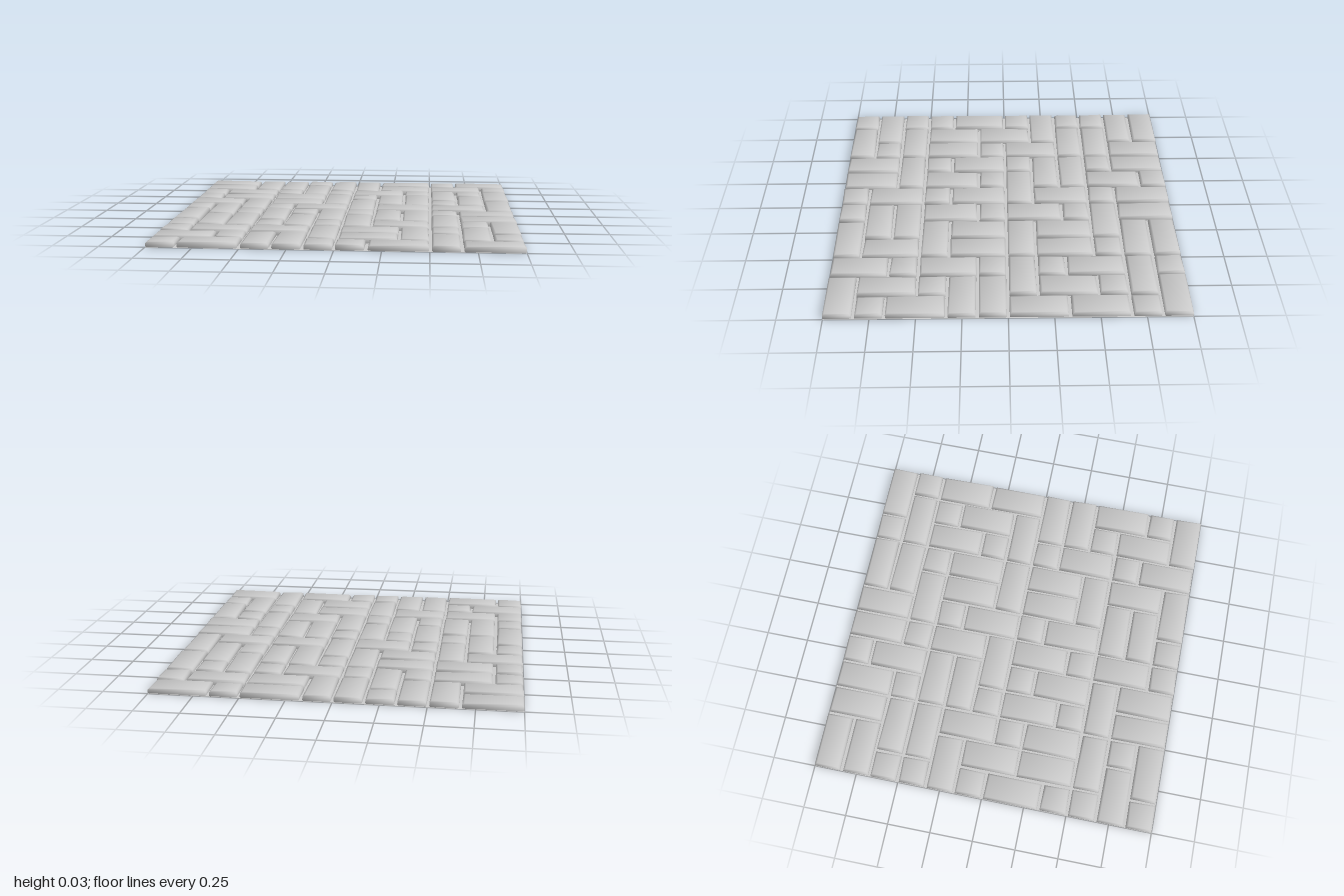
import * as THREE from 'three';

// Paving layout: H = brick along x, V = brick along z, S = half brick, . = covered
const LAYOUT = [
  'H.VVSVVH.SH.',
  'H...V..H.H.S',
  'SH.S.SH.SVSV',
  'SH.H.VSVV.V.',
  'H.VH..V..S.V',
  'SV.SH..H.H..',
  'V.SVSVSVVSH.',
  '.VV.V.V..VH.',
  'S..S.S.H..SV',
  'SH.H.VH.VSV.',
  'H.SVV.H..V.S',
  'SH...SSH..H.',
];
const GAP = 0.013;
const PITCH = (2 + GAP) / 12;

// Rings of a brick from the ground up: inset, height, upward lean of the normal
const RINGS = [
  [0.006, 0, -0.4],
  [0, 0.007, -0.1],
  [0, 0.024, 0.8],
  [0.009, 0.031, 3.3],
];
// Corners in counterclockwise order seen from above (x, z)
const CORNERS = [[-1, 1], [1, 1], [1, -1], [-1, -1]];

function makeRandom(seed) {
  return () => {
    seed = (seed * 16807) % 2147483647;
    return seed / 2147483647;
  };
}

// Worn brick with bevelled edges, softly shaded and slightly uneven corners
function brickGeometry(x0, z0, w, d, random) {
  const pos = [], nor = [], index = [];
  const wobble = CORNERS.map(() => [random() * 0.009, random() * 0.009, random() * 0.006 - 0.003]);
  const n = new THREE.Vector3();
  RINGS.forEach(([inset, y, lean], r) => {
    CORNERS.forEach(([sx, sz], c) => {
      const k = r / 3;
      const [wx, wz, wy] = wobble[c];
      pos.push(
        x0 + w / 2 + sx * (w / 2 - inset - wx * k),
        y + (r > 1 ? wy : 0),
        z0 + d / 2 + sz * (d / 2 - inset - wz * k));
      n.set(sx, lean, sz).normalize();
      nor.push(n.x, n.y, n.z);
      if (r < 3) {
        const a = r * 4 + c, b = r * 4 + (c + 1) % 4;
        index.push(a, b, b + 4, a, b + 4, a + 4);
      }
    });
  });
  index.push(12, 13, 14, 12, 14, 15);
  const geometry = new THREE.BufferGeometry();
  geometry.setAttribute('position', new THREE.Float32BufferAttribute(pos, 3));
  geometry.setAttribute('normal', new THREE.Float32BufferAttribute(nor, 3));
  geometry.setIndex(index);
  return geometry;
}

export function createModel() {
  const group = new THREE.Group();
  group.name = 'brickPaving';
  const material = new THREE.MeshStandardMaterial({ color: 0xcccccc });
  const random = makeRandom(4711);

  // Mortar bed under the bricks
  const bed = new THREE.Mesh(
    new THREE.PlaneGeometry(2, 2).rotateX(-Math.PI / 2),
    new THREE.MeshStandardMaterial({ color: 0xcccccc, side: THREE.DoubleSide }));
  bed.name = 'mortarBed';
  group.add(bed);

  // Bricks
  const bricks = new THREE.Group();
  bricks.name = 'bricks';
  LAYOUT.forEach((row, j) => [...row].forEach((kind, i) => {
    if (kind === '.') return;
    const w = PITCH * (kind === 'H' ? 2 : 1) - GAP;
    const d = PITCH * (kind === 'V' ? 2 : 1) - GAP;
    const brick = new THREE.Mesh(brickGeometry(-1 + i * PITCH, -1 + j * PITCH, w, d, random), material);
    brick.name = kind === 'S' ? 'halfBrick' : 'brick';
    bricks.add(brick);
  }));
  group.add(bricks);
  return group;
}
